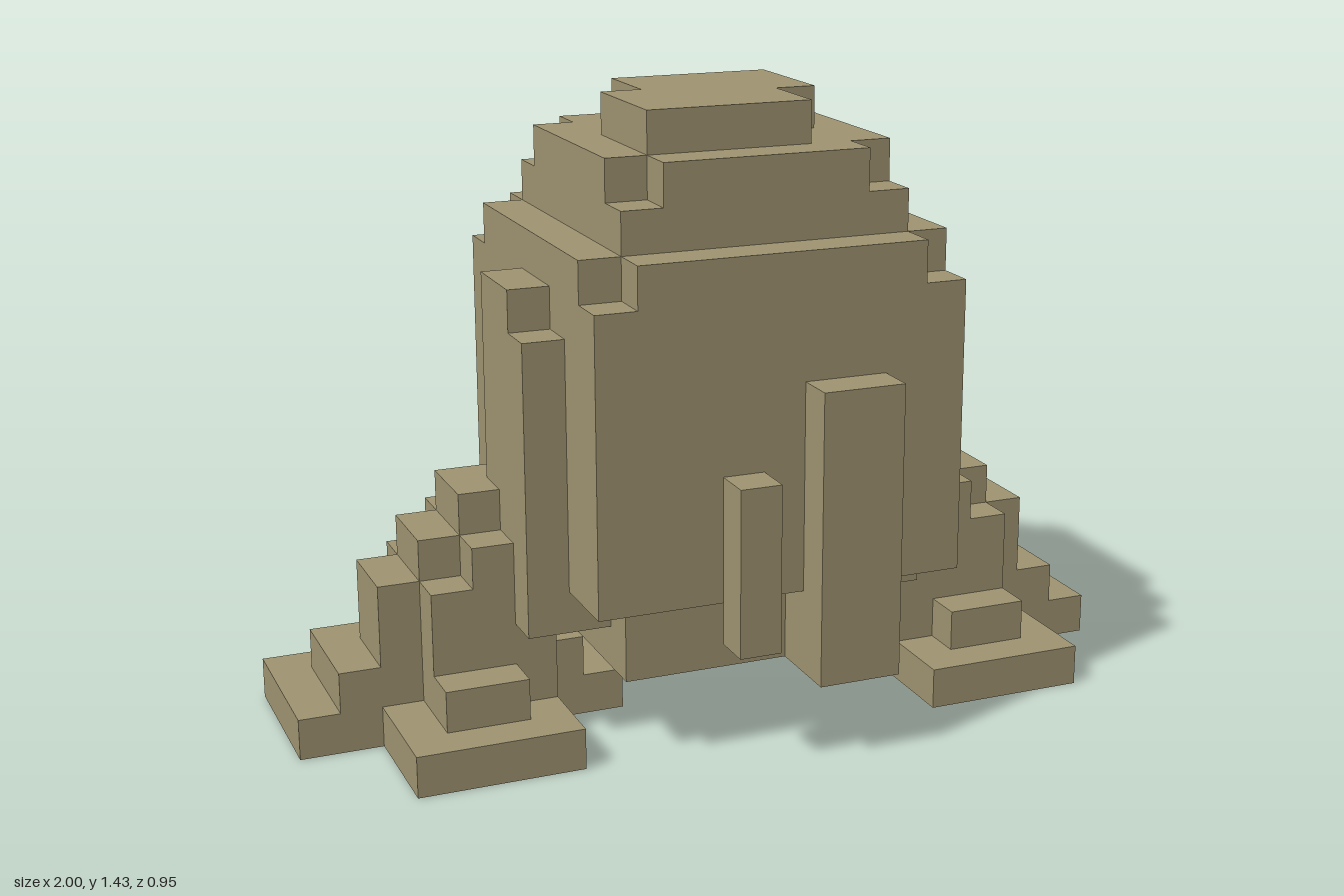
import * as THREE from 'three';

const U = 2 / 21; // edge of one block

export function createModel() {
  const model = new THREE.Group();
  const olive = new THREE.MeshStandardMaterial({ color: 0xa09572 });
  olive.name = 'olive clay';

  // Box given by its limits in blocks
  const block = (parent, name, x0, x1, y0, y1, z0, z1) => {
    const g = new THREE.BoxGeometry((x1 - x0) * U, (y1 - y0) * U, (z1 - z0) * U);
    const m = new THREE.Mesh(g, olive);
    m.name = name;
    m.position.set((x0 + x1) / 2 * U, (y0 + y1) / 2 * U, (z0 + z1) / 2 * U);
    parent.add(m);
  };
  const section = (name) => {
    const g = new THREE.Group();
    g.name = name;
    model.add(g);
    return g;
  };

  // Domed head, stacked from the bottom up
  const head = section('head');
  [
    [-3.5, 3.5, 2, 4, -4, 3],
    [-4.5, 4.5, 3, 4, -2, 2],
    [-4.5, 4.5, 4, 5, -3, 4],
    [-4.5, 4.5, 5, 11, -4, 4],
    [-4.5, 4.5, 11, 12, -4, 3],
    [-3.5, 3.5, 11, 12, 3, 4],
    [-3.5, 3.5, 12, 13, -4, 3],
    [-3.5, 3.5, 13, 14, -3, 2],
    [-2.5, 2.5, 13, 14, -4, 3],
  ].forEach((b) => block(head, 'headLayer', ...b));

  // Crown with two notched corners
  block(head, 'crown', -1.5, 2.5, 14, 15, -3, 0);
  block(head, 'crown', -2.5, 1.5, 14, 15, -1, 2);

  // Face plate on the back, with L-shaped eyes, a crooked mouth and a tooth
  const pts = (list) => list.map(([x, y]) => new THREE.Vector2(x * U, y * U));
  const face = new THREE.Shape(pts([
    [-3.5, 2], [-1.5, 2], [-1.5, 1], [-0.5, 1], [-0.5, 2], [3.5, 2], [3.5, 6], [4.5, 6],
    [4.5, 11], [3.5, 11], [3.5, 12], [-3.5, 12], [-3.5, 11], [-4.5, 11], [-4.5, 5],
    [-2.5, 5], [-2.5, 4], [-3.5, 4],
  ]));
  for (const s of [1, -1]) {
    const eye = [[1.5, 8], [3.5, 8], [3.5, 9], [2.5, 9], [2.5, 10], [1.5, 10]];
    face.holes.push(new THREE.Path(pts(eye.map(([x, y]) => [x * s, y]))));
  }
  face.holes.push(new THREE.Path(pts([
    [-1.5, 4], [1.5, 4], [1.5, 5], [2.5, 5], [2.5, 6], [0.5, 6], [0.5, 5], [-1.5, 5],
  ])));
  const plate = new THREE.Mesh(
    new THREE.ExtrudeGeometry(face, { depth: U, bevelEnabled: false }), olive);
  plate.name = 'face';
  plate.position.z = -5 * U;
  head.add(plate);

  // Drips running down the front and sides
  const drips = section('drips');
  block(drips, 'wideFrontDrip', 0.5, 2.5, 2, 9, 3, 5);
  block(drips, 'narrowFrontDrip', -1.5, -0.5, 3, 7, 4, 5);
  block(drips, 'leftDrip', 4.5, 5.5, 2, 9, 0, 1);
  block(drips, 'leftDrip', 4.5, 5.5, 2, 10, -2, 0);
  block(drips, 'rightDrip', -5.5, -4.5, 3, 11, -1, 1);
  block(drips, 'rightDrip', -5.5, -4.5, 3, 10, 1, 2);

  // Stepped mounds on both sides
  const mound = [
    [2.5, 10.5, 0, 1, -4, 0],
    [2.5, 6.5, 0, 1, -5, -4],
    [4.5, 8.5, 0, 1, 0, 3],
    [3.5, 9.5, 1, 2, -3, 0],
    [3.5, 5.5, 1, 2, -4, -3],
    [5.5, 7.5, 1, 2, 0, 2],
    [4.5, 6.5, 1, 5, 0, 1],
    [6.5, 7.5, 1, 4, 0, 1],
    [4.5, 6.5, 2, 6, -2, 0],
    [6.5, 7.5, 2, 5, -2, 0],
    [7.5, 8.5, 2, 4, -2, 0],
    [4.5, 6.5, 2, 5, -3, -2],
    [6.5, 7.5, 2, 4, -3, -2],
  ];
  for (const s of [1, -1]) {
    const side = section(s > 0 ? 'leftMound' : 'rightMound');
    mound.forEach(([a, b, ...rest]) =>
      block(side, 'moundStep', Math.min(a * s, b * s), Math.max(a * s, b * s), ...rest));
    if (s > 0) block(side, 'chinSupport', 1.5, 3.5, 1, 2, -4, -3);
  }

  return model;
}
